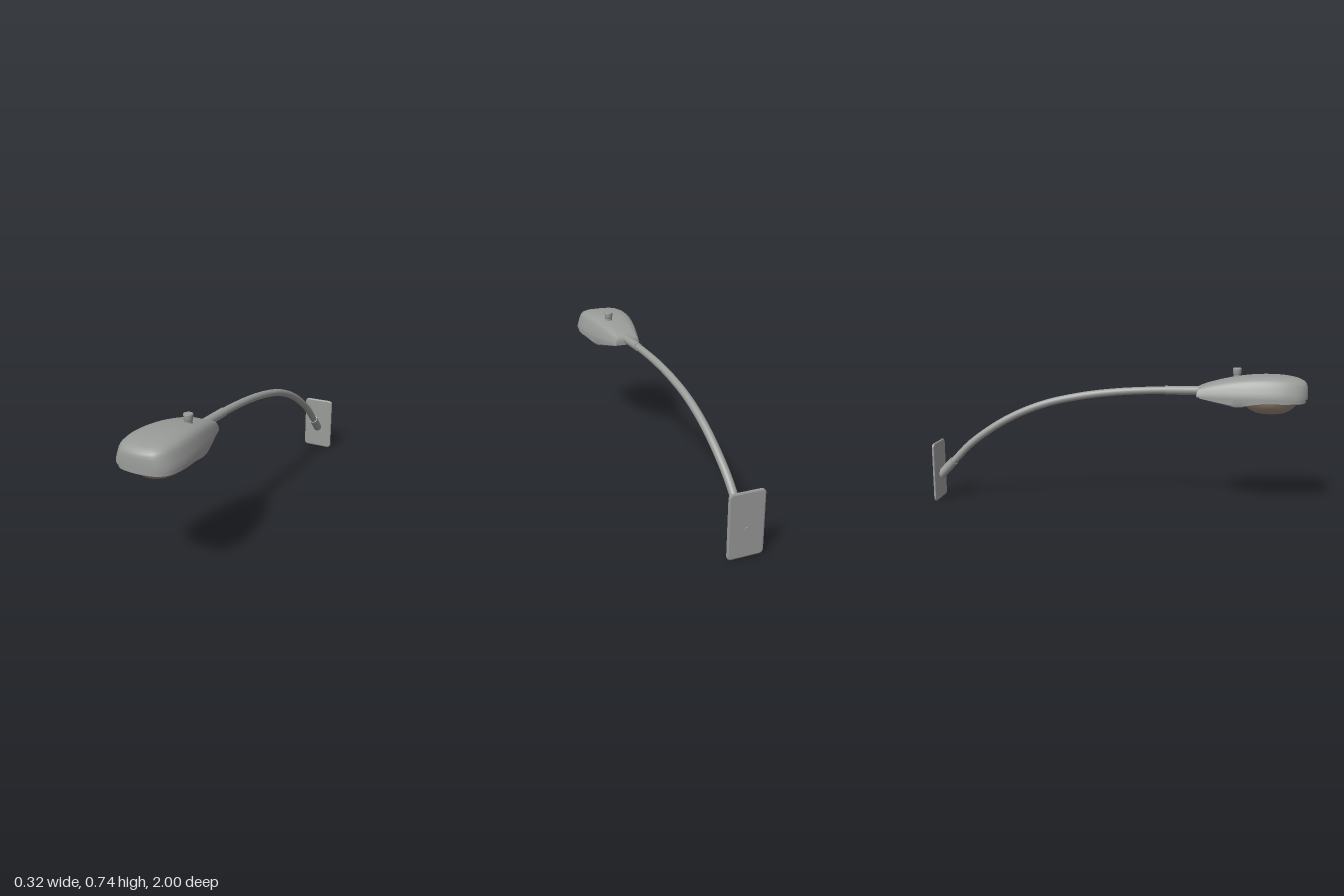
import * as THREE from 'three';
import { toCreasedNormals } from 'three/addons/utils/BufferGeometryUtils.js';

const V = (x, y, z) => new THREE.Vector3(x, y, z);
const MID_Z = 0.78; // point the lamp head's rings shrink towards
const RIM_Y = 0.595;

// Egg-shaped plan of the lamp head: flat at the back, round at the front
function headOutline() {
  const half = [[0.072, 0.425], [0.1, 0.51], [0.127, 0.61], [0.147, 0.71], [0.157, 0.81],
    [0.155, 0.88], [0.138, 0.945], [0.1, 0.983], [0.05, 0.996]];
  const pts = [...half, [0, 1], ...half.slice().reverse().map(([x, z]) => [-x, z])];
  return new THREE.CatmullRomCurve3(pts.map(([x, z]) => V(x, 0, z))).getPoints(64);
}

const roofY = z => 0.71 - 0.44 * (z - 0.8) ** 2;

function panY(z) {
  if (z < 0.62) return Math.min(0.592, 0.553 + (0.62 - z) * 0.195);
  return 0.553 + 0.019 * THREE.MathUtils.smoothstep(z, 0.62, 0.78);
}

// Skin between rings of the plan; each ring is [x scale, z scale, blend from rim to surface]
function loftHead(rings, surface) {
  const plan = headOutline(), n = plan.length, pos = [], index = [];
  for (const [sx, sz, f] of rings) {
    for (const p of plan) {
      const z = MID_Z + (p.z - MID_Z) * sz;
      pos.push(p.x * sx, RIM_Y + f * (surface(z) - RIM_Y), z);
    }
  }
  for (let r = 0; r < rings.length - 1; r++) {
    for (let i = 0; i < n; i++) {
      const a = r * n + i, b = r * n + (i + 1) % n, c = a + n, d = b + n;
      index.push(a, c, b, b, c, d);
    }
  }
  const g = new THREE.BufferGeometry();
  g.setAttribute('position', new THREE.Float32BufferAttribute(pos, 3));
  g.setIndex(index);
  return toCreasedNormals(g, 0.6);
}

function roundedRect(w, h, r) {
  const s = new THREE.Shape(), x = w / 2, y = h / 2;
  s.absarc(x - r, y - r, r, 0, Math.PI / 2);
  s.absarc(-x + r, y - r, r, Math.PI / 2, Math.PI);
  s.absarc(-x + r, -y + r, r, Math.PI, Math.PI * 1.5);
  s.absarc(x - r, -y + r, r, Math.PI * 1.5, Math.PI * 2);
  return s;
}

export function createModel() {
  const group = new THREE.Group();
  const metal = new THREE.MeshStandardMaterial({ name: 'grey metal', color: 0x999b99 });
  const amber = new THREE.MeshStandardMaterial({ name: 'brown lens', color: 0x9c8775 });

  const add = (name, geometry, material = metal) => {
    const m = new THREE.Mesh(geometry, material);
    m.name = name;
    group.add(m);
    return m;
  };

  // Solid rod between two points
  const rod = (name, from, to, r) => {
    const dir = to.clone().sub(from);
    const m = add(name, new THREE.CylinderGeometry(r, r, dir.length(), 32));
    m.position.copy(from).add(to).multiplyScalar(0.5);
    m.quaternion.setFromUnitVectors(V(0, 1, 0), dir.normalize());
    return m;
  };

  // Wall plate
  const plate = new THREE.ExtrudeGeometry(roundedRect(0.168, 0.308, 0.014), {
    depth: 0.009, bevelThickness: 0.003, bevelSize: 0.006, bevelSegments: 1, curveSegments: 6,
  });
  add('wallPlate', plate).position.set(0, 0.16, -0.997);

  // Curved arm with a sleeve at each end
  const path = new THREE.CatmullRomCurve3([
    V(0, 0.622, 0.4), V(0, 0.622, 0.25), V(0, 0.609, 0), V(0, 0.583, -0.2), V(0, 0.536, -0.4),
    V(0, 0.451, -0.6), V(0, 0.317, -0.8), V(0, 0.217, -0.9), V(0, 0.13, -0.984),
  ]);
  add('arm', new THREE.TubeGeometry(path, 64, 0.02, 24));
  rod('wallSleeve', V(0, 0.211, -0.907), V(0, 0.13, -0.984), 0.025);
  rod('headSleeve', V(0, 0.622, 0.26), V(0, 0.622, 0.45), 0.0235);

  // Lamp head: domed hood over an inset pan
  add('hood', loftHead([
    [1, 1, 0], [1, 1, 0.1], [0.96, 0.998, 0.3], [0.91, 0.992, 0.5], [0.865, 0.982, 0.66],
    [0.82, 0.96, 0.77], [0.75, 0.92, 0.86], [0.64, 0.83, 0.93], [0.5, 0.68, 0.97],
    [0.34, 0.46, 0.99], [0.17, 0.23, 1], [0, 0, 1],
  ], roofY));
  const panRings = [0, 0.15, 0.3, 0.45, 0.6, 0.75, 0.87, 0.935].map(s => [s, s, 1]);
  add('pan', loftHead([...panRings, [0.96, 0.96, 0.85], [0.96, 0.96, 0], [1, 1, 0]], panY));

  // Bowl-shaped lens
  const bowl = [[0, 0.507], [0.035, 0.507], [0.06, 0.512], [0.083, 0.525], [0.1, 0.543],
    [0.112, 0.562], [0.116, 0.575]].map(([x, y]) => new THREE.Vector2(x, y));
  const lens = add('lens', new THREE.LatheGeometry(bowl, 48), amber);
  lens.scale.z = 1.25;
  lens.position.z = 0.81;

  // Small panel under the head
  const panel = add('underPanel', new THREE.BoxGeometry(0.08, 0.006, 0.06), amber);
  panel.position.set(0, panY(0.565) - 0.001, 0.565);
  panel.rotation.x = 0.193;

  // Light sensor on the roof
  const sensor = [[0.019, 0.67], [0.019, 0.706], [0.021, 0.709], [0.0235, 0.736], [0.022, 0.74], [0, 0.74]]
    .map(([x, y]) => new THREE.Vector2(x, y));
  add('lightSensor', toCreasedNormals(new THREE.LatheGeometry(sensor, 24), 0.5)).position.set(0.038, 0, 0.638);

  return group;
}
